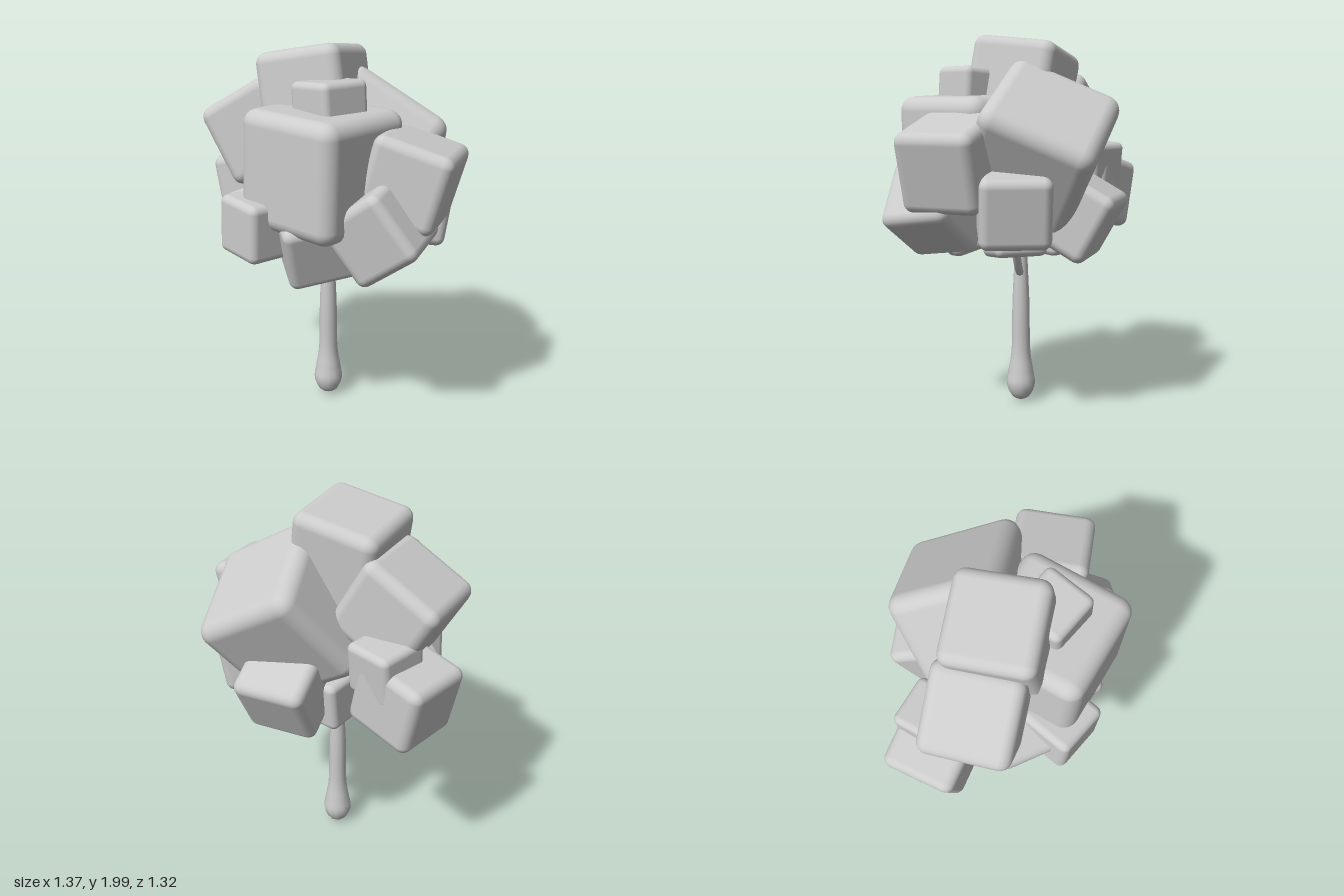
import * as THREE from 'three';
import { RoundedBoxGeometry } from 'three/addons/geometries/RoundedBoxGeometry.js';

const clay = new THREE.MeshStandardMaterial({ color: 0xcccccc });
clay.name = 'paleGrey';

const point = (x, y, z) => new THREE.Vector3(x, y, z);

// Bevelled leaf block, turned by yaw, pitch and roll in degrees
function leafBlock(name, size, position, yaw, pitch = 0, roll = 0) {
  const mesh = new THREE.Mesh(new RoundedBoxGeometry(size, size, size, 3, size * 0.13), clay);
  const [x, y, z] = [pitch, yaw, roll].map(THREE.MathUtils.degToRad);
  mesh.rotation.set(x, y, z, 'YXZ');
  mesh.position.copy(position);
  mesh.name = name;
  return mesh;
}

// Thin limb curving from the trunk into the foliage
function branch(name, start, bend, end) {
  const curve = new THREE.QuadraticBezierCurve3(start, bend, end);
  const mesh = new THREE.Mesh(new THREE.TubeGeometry(curve, 12, 0.022, 8), clay);
  mesh.name = name;
  return mesh;
}

// Trunk with a swollen, rounded foot
function makeTrunk() {
  const profile = [[0, 0.005], [0.052, 0.035], [0.078, 0.1], [0.068, 0.18], [0.051, 0.3], [0.047, 0.55], [0.036, 0.8], [0.028, 1.1]];
  const curve = new THREE.SplineCurve(profile.map(([r, y]) => new THREE.Vector2(r, y)));
  const mesh = new THREE.Mesh(new THREE.LatheGeometry(curve.getPoints(36), 12), clay);
  mesh.position.set(-0.018, 0, -0.005);
  mesh.name = 'trunk';
  return mesh;
}

export function createModel() {
  const model = new THREE.Group();
  model.name = 'blockyTree';

  const foliage = new THREE.Group();
  foliage.name = 'foliage';
  foliage.add(
    // Upper blocks
    leafBlock('crownBlock', 0.46, point(-0.078, 1.722, -0.01), -22, -6, 10),
    leafBlock('frontBlock', 0.6, point(-0.043, 1.385, 0.237), -40, 0, -2),
    leafBlock('frontTopBlock', 0.28, point(-0.005, 1.685, 0.25), 40, -4),
    leafBlock('leftBigBlock', 0.605, point(0.215, 1.405, -0.1), -5, -23, -33),
    leafBlock('rightBigBlock', 0.45, point(-0.35, 1.515, -0.165), -23, -1, 30),
    leafBlock('leftFrontBlock', 0.41, point(0.405, 1.355, 0.32), -19, 0, -16),
    leafBlock('backSmallBlock', 0.27, point(-0.3, 1.295, -0.385), -40, -5),
    // Lower ring
    leafBlock('backRightBlock', 0.38, point(-0.402, 1.15, -0.385), -35, -1, 13),
    leafBlock('leftFrontLowBlock', 0.38, point(0.245, 1.12, 0.42), -24, 8, -54),
    leafBlock('rightFrontSmallBlock', 0.305, point(-0.36, 1.09, 0.25), -50, 0, -3),
    leafBlock('frontLowBlock', 0.36, point(-0.08, 1.025, 0.27), 15, 18, 10),
    leafBlock('rightLowBlock', 0.33, point(-0.35, 1.045, 0.02), 16, 5, 18),
    leafBlock('leftLowBlock', 0.355, point(0.425, 1.14, 0.015), 7, 0, -9),
    leafBlock('backLowBlock', 0.38, point(0.2, 1.09, -0.29), -17, -29),
    // Small blocks underneath
    leafBlock('underBackBlock', 0.27, point(0, 0.99, -0.16), -32, -5),
    leafBlock('underLeftBlock', 0.27, point(0.3, 1.01, 0.02), 20, 0, 8),
  );

  model.add(
    makeTrunk(),
    branch('leftBranch', point(-0.02, 0.73, 0), point(0.13, 0.74, 0), point(0.24, 0.95, 0.02)),
    branch('rightBranch', point(-0.01, 0.74, 0), point(-0.18, 0.76, 0), point(-0.28, 0.95, -0.02)),
    foliage,
  );
  return model;
}
